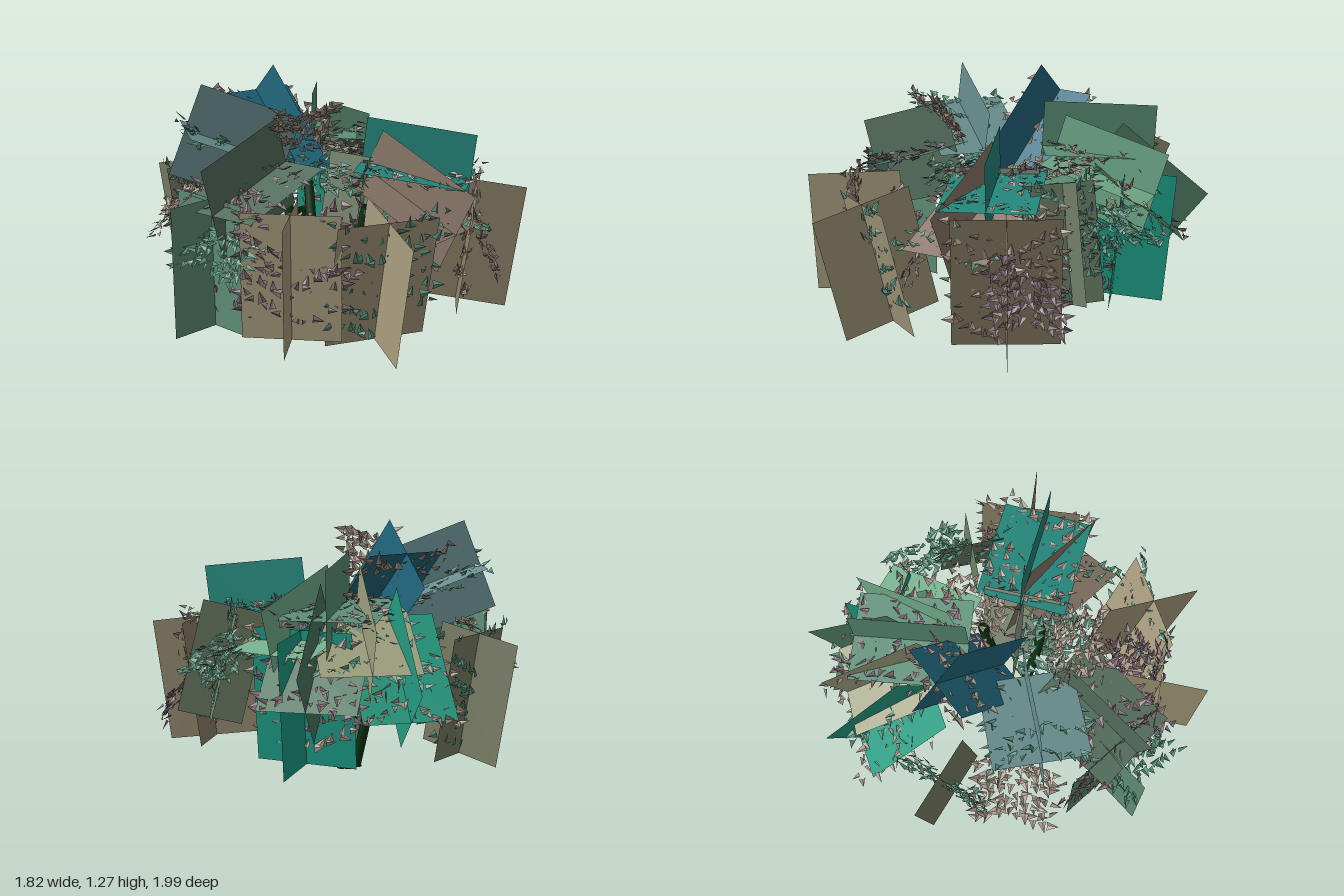
import * as THREE from 'three';

// Foliage clumps: centre, azimuth (0 = front, 90 = left), elevation, width, length, colour
const CLUMPS = [
  // crown
  [-0.04, 0.93, -0.26, 190, 45, 0.41, 0.55, 0x226a80],
  [-0.37, 0.93, -0.10, -108, 21, 0.46, 0.52, 0x6a8f90],
  [-0.45, 0.80, 0.20, -69, -17, 0.46, 0.54, 0x56705f],
  [0.40, 0.80, 0.31, 47, -7, 0.45, 0.54, 0x23877c],
  [0.33, 0.67, 0.37, 23, -26, 0.45, 0.58, 0x8d7a6c],
  [0.26, 0.88, -0.43, 147, -3, 0.45, 0.56, 0x5c9078],
  [0.40, 0.78, -0.35, 124, -17, 0.43, 0.54, 0x74b08e],
  // drooping back
  [0.19, 0.76, -0.57, 166, -27, 0.46, 0.54, 0x9d9f7e],
  [0.41, 0.66, -0.55, 145, -40, 0.46, 0.56, 0x4d7860],
  [0.05, 0.63, -0.64, 172, -46, 0.44, 0.58, 0x259a80],
  // upright skirt
  [-0.03, 0.41, 0.68, -8, 76, 0.50, 0.62, 0xaa9e80],
  [-0.43, 0.46, 0.55, -38, 87, 0.46, 0.60, 0xa59c7c],
  [0.64, 0.44, 0.41, 55, 82, 0.50, 0.62, 0x8a8068],
  [0.66, 0.57, 0.08, 75, 104, 0.32, 0.56, 0x6f8068],
  [0.20, 0.57, 0.14, 50, 82, 0.40, 0.58, 0x92a088],
  [0.43, 0.48, -0.43, 135, 85, 0.50, 0.64, 0x1c9a84],
  [-0.35, 0.46, -0.56, 210, 80, 0.42, 0.60, 0x7d8168],
  [-0.63, 0.46, 0.17, -75, 89, 0.48, 0.62, 0x5f8f78],
];

// Loose leafy sprigs without broad blades
const LOOSE = [
  [-0.17, 1.04, 0.20, -20, 50, 0.26, 0.34],
  [0.72, 0.64, -0.12, 100, -25, 0.36, 0.30],
  [0.74, 0.45, 0.38, 65, -60, 0.32, 0.38],
  [0.25, 0.84, -0.15, 120, 5, 0.40, 0.36],
  [-0.08, 0.80, 0.12, -30, -10, 0.40, 0.36],
  [-0.10, 0.42, 0.46, -20, -60, 0.40, 0.40],
  [-0.55, 0.66, -0.30, -120, -40, 0.36, 0.36],
  [-0.66, 0.60, 0.30, -65, -45, 0.36, 0.32],
  [-0.30, 0.60, 0.50, -35, -40, 0.40, 0.34],
];

const STEMS = [
  [[-0.02, 0.02, 0.06], [-0.10, 0.28, 0.13], [-0.18, 0.66, 0.20]],
  [[0.05, 0.02, 0.06], [0.10, 0.28, 0.16], [0.16, 0.64, 0.25]],
  [[0.07, 0.02, 0.00], [0.16, 0.35, -0.03], [0.22, 0.72, -0.07]],
  [[-0.01, 0.02, 0.00], [-0.05, 0.38, -0.09], [-0.07, 0.78, -0.18]],
  [[0.04, 0.02, -0.02], [0.05, 0.35, -0.08], [0.08, 0.68, -0.18]],
];

function seeded(seed) {
  let s = seed;
  return () => ((s = (s * 16807) % 2147483647) / 2147483647);
}

const material = (color) => new THREE.MeshStandardMaterial({ color, side: THREE.DoubleSide });

// Local axes: x sideways, y along the branch, z out of the main blade
function clumpMatrix([x, y, z, azimuth, elevation]) {
  const az = THREE.MathUtils.degToRad(azimuth);
  const el = THREE.MathUtils.degToRad(elevation);
  const along = new THREE.Vector3(Math.sin(az) * Math.cos(el), Math.sin(el), Math.cos(az) * Math.cos(el));
  const side = new THREE.Vector3(Math.cos(az), 0, -Math.sin(az));
  const out = side.clone().cross(along);
  return new THREE.Matrix4().makeBasis(side, along, out).setPosition(x, y, z);
}

// Folded triangular leaves along alternating side twigs
function leafSprig(width, length, random) {
  const points = [];
  const spot = new THREE.Vector3();
  const twist = new THREE.Euler();
  const addLeaf = (angle) => {
    const size = 0.042 + random() * 0.02;
    twist.set((random() - 0.5) * 1.1, (random() - 0.5) * 1.1, angle);
    const corner = (x, y, z) => new THREE.Vector3(x, y, z).multiplyScalar(size).applyEuler(twist).add(spot);
    const left = corner(-0.38, 0, 0), right = corner(0.38, 0, 0);
    const fold = corner(0, 0.08, 0.15), tip = corner(0, 1, 0);
    for (const p of [left, fold, tip, fold, right, tip]) points.push(p.x, p.y, p.z);
  };
  const twigs = 12;
  for (let i = 0; i < twigs; i++) {
    const dir = i % 2 ? 1 : -1;
    const start = (i / (twigs - 1) - 0.55) * length * 0.85;
    const lift = (random() - 0.5) * 0.06;
    for (let j = 0; j < 8; j++) {
      const k = (j + 0.5) / 8;
      spot.set(
        dir * k * width * 0.52 + (random() - 0.5) * 0.02,
        start + k * length * 0.2 + (random() - 0.5) * 0.02,
        lift + k * (random() - 0.5) * 0.07,
      );
      addLeaf(-dir * (0.9 + (j % 2 ? 0.6 : -0.6)) + (random() - 0.5) * 0.5);
    }
  }
  const geometry = new THREE.BufferGeometry();
  geometry.setAttribute('position', new THREE.Float32BufferAttribute(points, 3));
  geometry.computeVertexNormals();
  return geometry;
}

export function createModel() {
  const model = new THREE.Group();
  model.name = 'shrub';
  const random = seeded(4217);
  const leafMaterials = [0xa09082, 0x5c937e, 0x866f76].map(material);

  const addMesh = (parent, name, geometry, mat) => {
    const mesh = new THREE.Mesh(geometry, mat);
    mesh.name = name;
    parent.add(mesh);
    return mesh;
  };

  // Stems fanning out from the ground
  const stems = new THREE.Group();
  stems.name = 'stems';
  const stemMaterial = material(0x0c3512);
  for (const path of STEMS) {
    const curve = new THREE.CatmullRomCurve3(path.map((p) => new THREE.Vector3(...p)));
    addMesh(stems, 'stem', new THREE.TubeGeometry(curve, 8, 0.026, 8), stemMaterial);
    const foot = addMesh(stems, 'stemFoot', new THREE.CylinderGeometry(0.02, 0.027, 0.04, 8), stemMaterial);
    foot.position.set(path[0][0], 0.02, path[0][2]);
  }
  model.add(stems);

  // Clumps: two crossed blades sharing the branch axis, plus a sprig
  [...CLUMPS, ...LOOSE].forEach((spec, i) => {
    const [width, length, color] = spec.slice(5);
    const clump = new THREE.Group();
    clump.name = color === undefined ? 'looseSprig' : 'foliageClump';
    clumpMatrix(spec).decompose(clump.position, clump.quaternion, clump.scale);
    if (color !== undefined) {
      const blade = new THREE.PlaneGeometry(width, length);
      const bladeMaterial = material(color);
      addMesh(clump, 'broadBlade', blade, bladeMaterial);
      addMesh(clump, 'crossBlade', blade, bladeMaterial).rotation.y = Math.PI / 2;
    }
    addMesh(clump, 'leaves', leafSprig(width, length, random), leafMaterials[i % 3]);
    model.add(clump);
  });

  return model;
}
